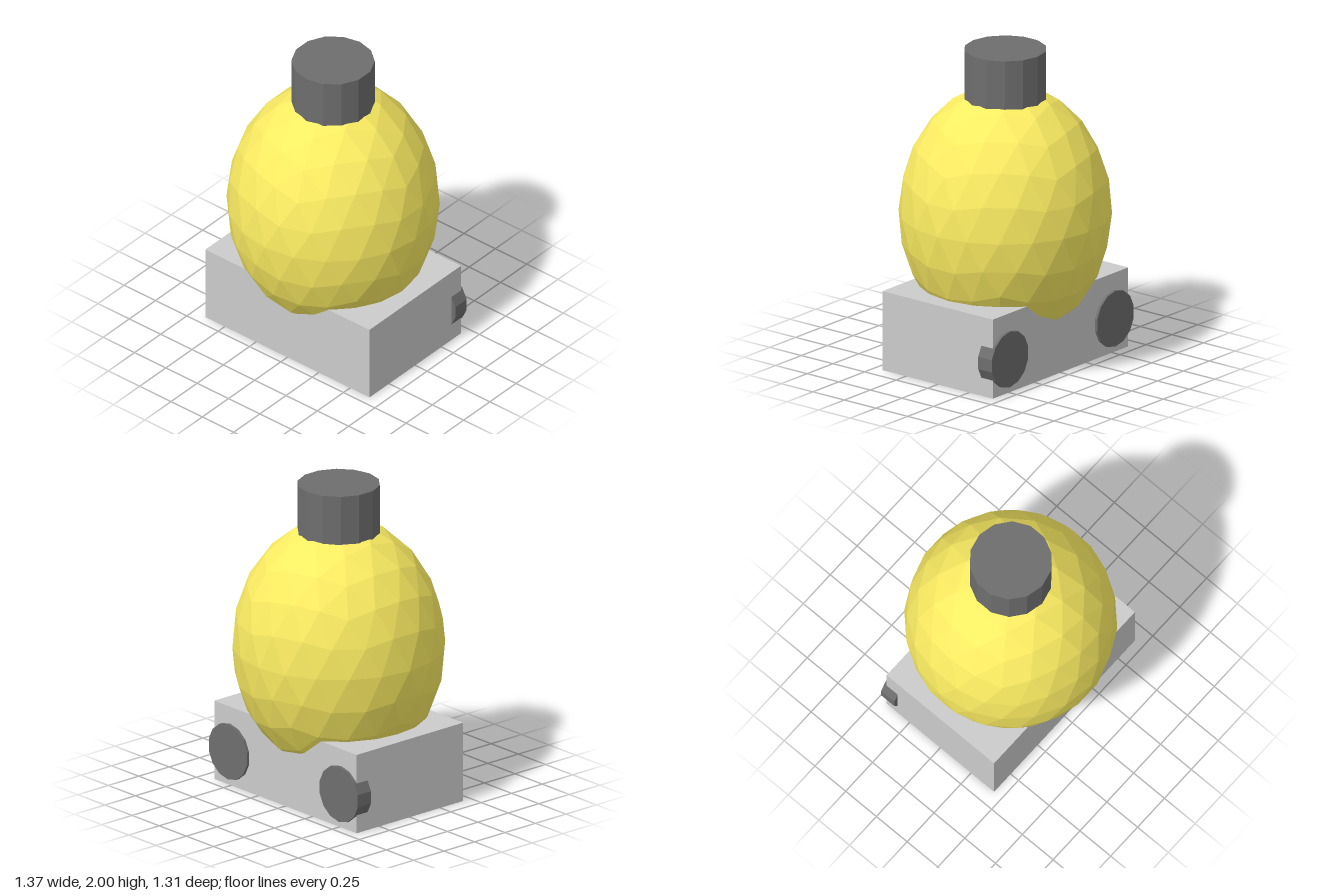
import * as THREE from 'three';

const RX = 0.655, RY = 0.81;

// Splits each triangle into four and pushes the new corners onto the unit sphere
function subdivide(triangles) {
  const mid = (p, q) => p.clone().add(q).normalize();
  return triangles.flatMap(([a, b, c]) => {
    const ab = mid(a, b), bc = mid(b, c), ca = mid(c, a);
    return [[a, ab, ca], [ab, b, bc], [ca, bc, c], [ab, bc, ca]];
  });
}

// Faceted ball with a corner at the top and bottom pole
function facetedBall(levels) {
  const base = new THREE.IcosahedronGeometry(1, 0);
  base.rotateZ(-Math.atan(2 / (1 + Math.sqrt(5))));
  const pos = base.attributes.position;
  let triangles = [];
  for (let i = 0; i < pos.count; i += 3) {
    triangles.push([0, 1, 2].map(k => new THREE.Vector3().fromBufferAttribute(pos, i + k)));
  }
  for (let i = 0; i < levels; i++) triangles = subdivide(triangles);
  const geometry = new THREE.BufferGeometry().setFromPoints(triangles.flat());
  geometry.scale(RX, RY, RX);
  geometry.computeVertexNormals();
  return geometry;
}

export function createModel() {
  const model = new THREE.Group();
  model.name = 'model';

  const material = color => new THREE.MeshStandardMaterial({ color, flatShading: true });
  const grey = material(0xcccccc);
  const dark = material(0x6e6e6e);
  const yellow = material(0xfbec62);

  const add = (name, geometry, mat, x, y, z) => {
    const mesh = new THREE.Mesh(geometry, mat);
    mesh.name = name;
    mesh.position.set(x, y, z);
    model.add(mesh);
    return mesh;
  };

  // Block the bulb sits in
  add('base', new THREE.BoxGeometry(1.31, 0.51, 0.874), grey, 0, 0.255, 0);

  // Egg-shaped bulb
  add('bulb', facetedBall(2), yellow, 0, 0.95, 0);

  // Neck on top of the bulb
  add('neck', new THREE.CylinderGeometry(0.255, 0.255, 0.4, 14), dark, 0, 1.8, 0);

  // Two discs set into the back of the base
  const disc = new THREE.CylinderGeometry(0.18, 0.18, 0.108, 14).rotateX(Math.PI / 2);
  for (const side of [1, -1]) {
    add(side > 0 ? 'leftDisc' : 'rightDisc', disc, dark, side * 0.51, 0.22, -0.401);
  }

  return model;
}
